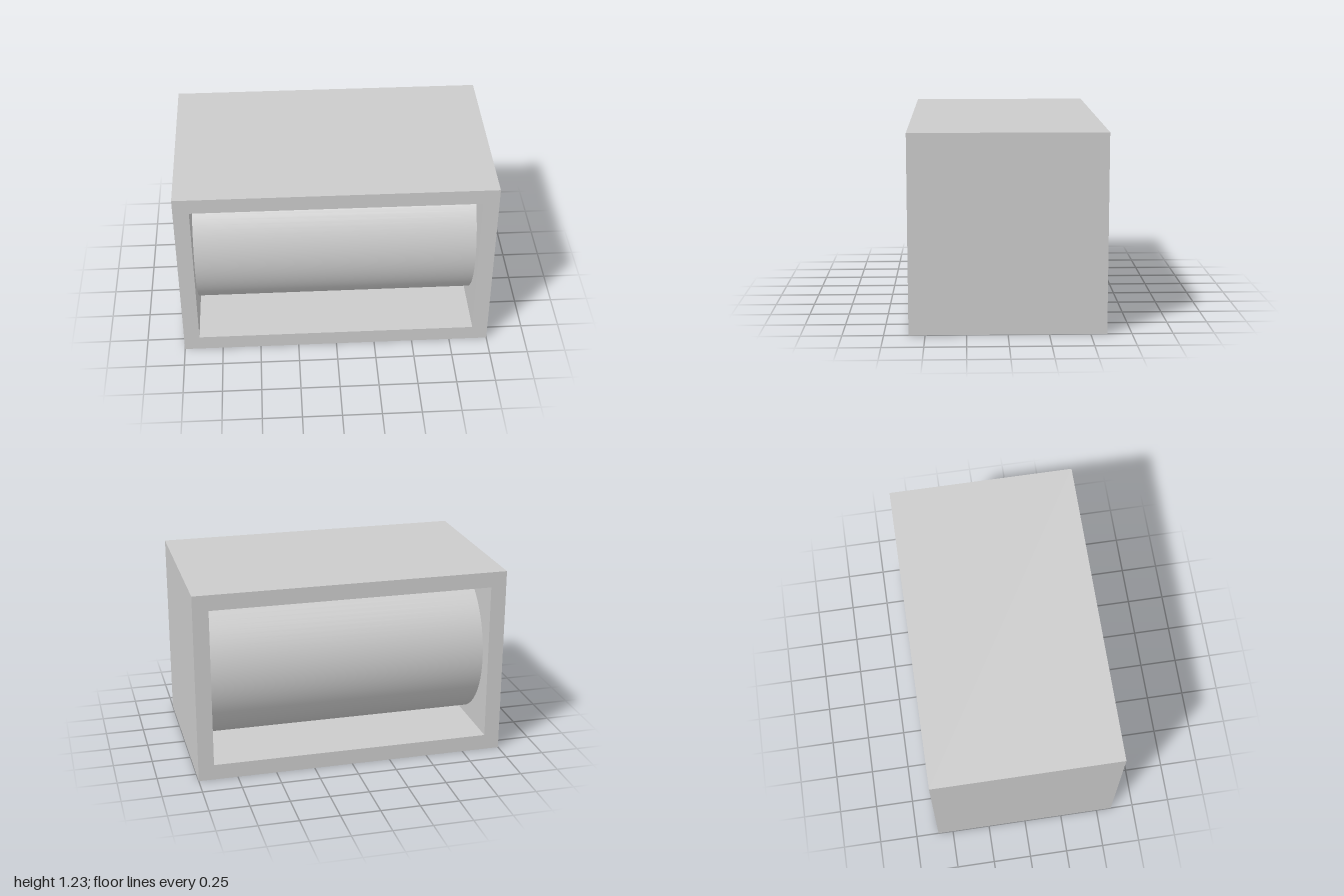
import * as THREE from 'three';

const WIDTH = 2, HEIGHT = 1.226, DEPTH = 1.2, WALL = 0.1, RADIUS = 0.507;

// Rectangle outline centred on the origin
function rectangle(Type, w, h) {
  const path = new Type();
  path.moveTo(-w / 2, -h / 2);
  path.lineTo(w / 2, -h / 2);
  path.lineTo(w / 2, h / 2);
  path.lineTo(-w / 2, h / 2);
  path.closePath();
  return path;
}

export function createModel() {
  const group = new THREE.Group();
  group.name = 'rollerHousing';
  const material = new THREE.MeshStandardMaterial({ color: 0xcccccc });

  // Rectangular housing, open at front and back
  const shape = rectangle(THREE.Shape, WIDTH, HEIGHT);
  shape.holes.push(rectangle(THREE.Path, WIDTH - 2 * WALL, HEIGHT - 2 * WALL));
  const housing = new THREE.Mesh(
    new THREE.ExtrudeGeometry(shape, { depth: DEPTH, bevelEnabled: false }),
    material
  );
  housing.name = 'housing';
  housing.position.set(0, HEIGHT / 2, -DEPTH / 2);
  group.add(housing);

  // Smooth roller spanning the housing between its side walls
  const roller = new THREE.Mesh(
    new THREE.CylinderGeometry(RADIUS, RADIUS, WIDTH - 2 * WALL, 96),
    material
  );
  roller.name = 'roller';
  roller.rotation.z = Math.PI / 2;
  roller.position.y = HEIGHT / 2;
  group.add(roller);

  return group;
}
